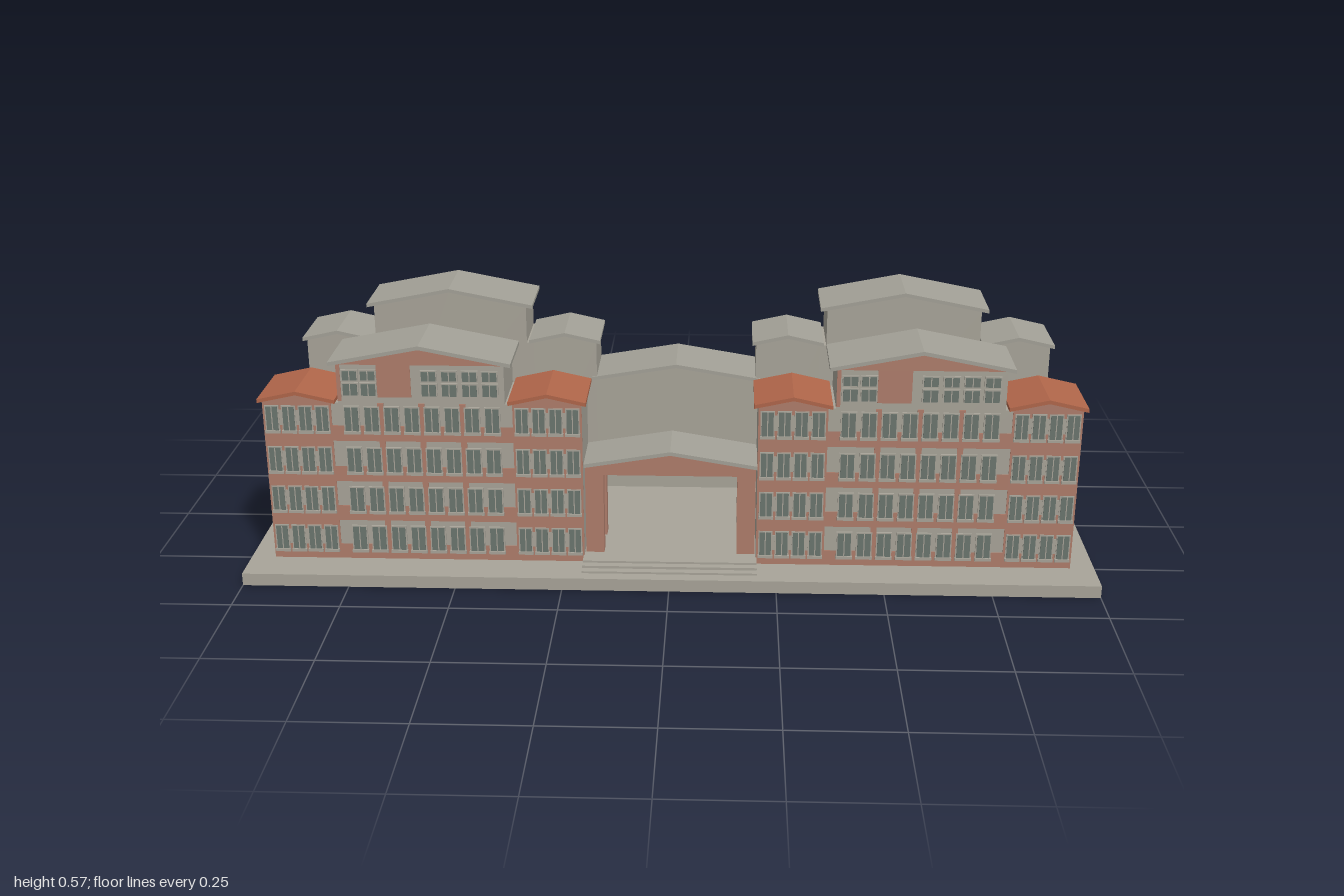
import * as THREE from 'three';

const mat = (name, color, side = THREE.FrontSide) => {
  const m = new THREE.MeshStandardMaterial({ color, side });
  m.name = name;
  return m;
};

export function createModel() {
  const stone = mat('stone', 0xa8a499);
  const roofGrey = mat('roof grey', 0xa3a197);
  const roofRed = mat('roof red', 0xb0664a);
  const brick = mat('brick', 0xae7d6b);
  const glass = mat('window glass', 0x6b756e);

  const model = new THREE.Group();
  model.name = 'building';

  const add = (parent, name, geometry, material) => {
    const mesh = new THREE.Mesh(geometry, material);
    mesh.name = name;
    parent.add(mesh);
    return mesh;
  };
  // box given by its limits on each axis
  const box = (parent, name, material, x0, x1, y0, y1, z0, z1) => {
    const mesh = add(parent, name, new THREE.BoxGeometry(x1 - x0, y1 - y0, z1 - z0), material);
    mesh.position.set((x0 + x1) / 2, (y0 + y1) / 2, (z0 + z1) / 2);
    return mesh;
  };
  // outline in x and y, extruded from z0 to z1
  const prism = (parent, name, material, points, z0, z1, hole) => {
    const shape = new THREE.Shape(points.map(p => new THREE.Vector2(...p)));
    if (hole) shape.holes.push(new THREE.Path(hole.map(p => new THREE.Vector2(...p))));
    const g = new THREE.ExtrudeGeometry(shape, { depth: z1 - z0, bevelEnabled: false });
    g.translate(0, 0, z0);
    return add(parent, name, g, material);
  };
  // two sloping slabs meeting at a ridge along z
  const gableRoof = (parent, name, material, cx, half, eave, peak, z0, z1) => {
    const t = 0.009;
    prism(parent, name, material, [
      [cx - half, eave], [cx, peak - t], [cx + half, eave],
      [cx + half, eave + t], [cx, peak], [cx - half, eave + t]], z0, z1);
  };
  // wall block with a pointed top just under its roof
  const gableWall = (parent, name, material, cx, half, eave, peak, z0, z1) =>
    prism(parent, name, material, [
      [cx - half, 0.03], [cx + half, 0.03], [cx + half, eave], [cx, peak], [cx - half, eave]], z0, z1);

  // Ground slab
  box(model, 'groundSlab', stone, -1, 1, 0, 0.03, -0.4, 0.4);

  // One row of three-part blocks: wing, tall centre, wing
  const wings = [-0.29, 0.29];
  function blockRow(parent, cx, z0, z1, wingRoof) {
    for (const dx of wings) {
      gableWall(parent, 'wingWall', stone, cx + dx, 0.08, 0.425, 0.443, z0, z1);
      gableRoof(parent, 'wingRoof', wingRoof, cx + dx, 0.09, 0.425, 0.454, z0 - 0.008, z1 + 0.009);
    }
    // centre runs wide enough to close against both wings
    box(parent, 'centreBase', stone, cx - 0.212, cx + 0.212, 0.03, 0.425, z0, z1);
    gableWall(parent, 'centreWall', stone, cx, 0.193, 0.519, 0.556, z0, z1);
    gableRoof(parent, 'centreRoof', roofGrey, cx, 0.21, 0.517, 0.567, z0 - 0.008, z1 + 0.009);
  }

  const front = 0.305;
  const floors = [0.055, 0.155, 0.255, 0.357];
  // Framed window with a bar and a sill
  function window(parent, x, y, w, h, sill = true) {
    box(parent, 'windowFrame', stone, x - w / 2 - 0.003, x + w / 2 + 0.003, y, y + h + 0.003, front, front + 0.0045);
    box(parent, 'windowGlass', glass, x - w / 2, x + w / 2, y, y + h, front, front + 0.006);
    box(parent, 'windowBar', stone, x - 0.0012, x + 0.0012, y, y + h, front, front + 0.007);
    if (sill) box(parent, 'windowSill', stone, x - w / 2 - 0.004, x + w / 2 + 0.004, y - 0.007, y, front, front + 0.009);
  }

  function facade(parent, cx) {
    // brick wings with pale panels behind the windows
    for (const dx of wings) {
      const x = cx + dx;
      prism(parent, 'wingBrick', brick, [
        [x - 0.08, 0.03], [x + 0.08, 0.03], [x + 0.08, 0.425], [x, 0.443], [x - 0.08, 0.425]], front, front + 0.002);
      for (const y of floors) {
        box(parent, 'wingPanel', stone, x - 0.075, x + 0.075, y + 0.012, y + 0.05, front, front + 0.003);
        for (let i = 0; i < 4; i++) window(parent, x - 0.0585 + i * 0.039, y, 0.027, 0.058);
      }
    }
    // stone centre with brick bands between the floors
    for (const y of floors)
      box(parent, 'centreBand', brick, cx - 0.21, cx + 0.21, y - 0.026, y + 0.012, front, front + 0.002);
    for (const dx of [-0.095, 0, 0.095])
      box(parent, 'centrePier', brick, cx + dx - 0.007, cx + dx + 0.007, 0.03, 0.425, front, front + 0.002);
    for (const y of floors)
      for (let i = 0; i < 8; i++) window(parent, cx - 0.163 + i * 0.0466, y, 0.031, 0.058);
    // attic storey, brick pediment and brick panel
    prism(parent, 'pediment', brick, [[cx - 0.19, 0.519], [cx + 0.19, 0.519], [cx, 0.556]], front, front + 0.002);
    box(parent, 'atticPanel', brick, cx - 0.1, cx - 0.022, 0.44, 0.52, front, front + 0.002);
    box(parent, 'atticCorner', brick, cx - 0.193, cx - 0.184, 0.43, 0.52, front, front + 0.002);
    for (const dx of [-0.162, -0.12, 0.02, 0.067, 0.114, 0.16])
      for (const [y, h] of [[0.445, 0.028], [0.482, 0.022]]) window(parent, cx + dx, y, 0.033, h, false);
  }

  for (const side of [-1, 1]) {
    const half = new THREE.Group();
    half.name = side > 0 ? 'leftHalf' : 'rightHalf';
    model.add(half);
    const cx = side * 0.573;
    blockRow(half, cx, 0.153, front, roofRed);
    blockRow(half, cx, -0.299, -0.143, roofGrey);
    facade(half, cx);

    // Connecting block with windows on both long sides
    box(half, 'connector', stone, cx - 0.135, cx + 0.135, 0.03, 0.427, -0.145, 0.155);
    box(half, 'connectorRoof', roofGrey, cx - 0.141, cx + 0.141, 0.426, 0.435, -0.145, 0.155);
    for (const face of [-1, 1])
      for (let row = 0; row < 4; row++)
        for (let col = 0; col < 4; col++) {
          const x = cx + face * 0.137, z = 0.112 - col * 0.0765, y = 0.06 + row * 0.1;
          box(half, 'connectorWindow', stone, x - 0.003, x + 0.003, y, y + 0.064, Math.max(z - 0.025, -0.144), z + 0.025);
        }
  }

  // Low rear link between the two halves
  gableWall(model, 'rearLink', stone, 0, 0.21, 0.328, 0.361, -0.299, -0.143);
  gableRoof(model, 'rearLinkRoof', roofGrey, 0, 0.215, 0.326, 0.371, -0.307, -0.138);

  // Entrance: two brick arches carrying a roof
  const archOutline = [[-0.2, 0.03], [0.2, 0.03], [0.2, 0.265], [0, 0.298], [-0.2, 0.265]];
  const opening = [[-0.157, 0.04], [-0.157, 0.245], [0.157, 0.245], [0.157, 0.04]];
  for (const [z0, z1] of [[0.158, 0.19], [0.258, 0.288]])
    prism(model, 'entranceArch', brick, archOutline, z0, z1, opening);
  gableRoof(model, 'entranceRoof', roofGrey, 0, 0.205, 0.263, 0.306, 0.153, 0.291);

  // Entrance floor and steps
  box(model, 'entranceFloor', stone, -0.205, 0.205, 0.03, 0.046, 0.155, 0.315);
  [[0.046, 0.337], [0.041, 0.354], [0.035, 0.371]].forEach(([y, z]) =>
    box(model, 'entranceStep', stone, -0.205, 0.205, 0.03, y, 0.315, z));

  return model;
}
